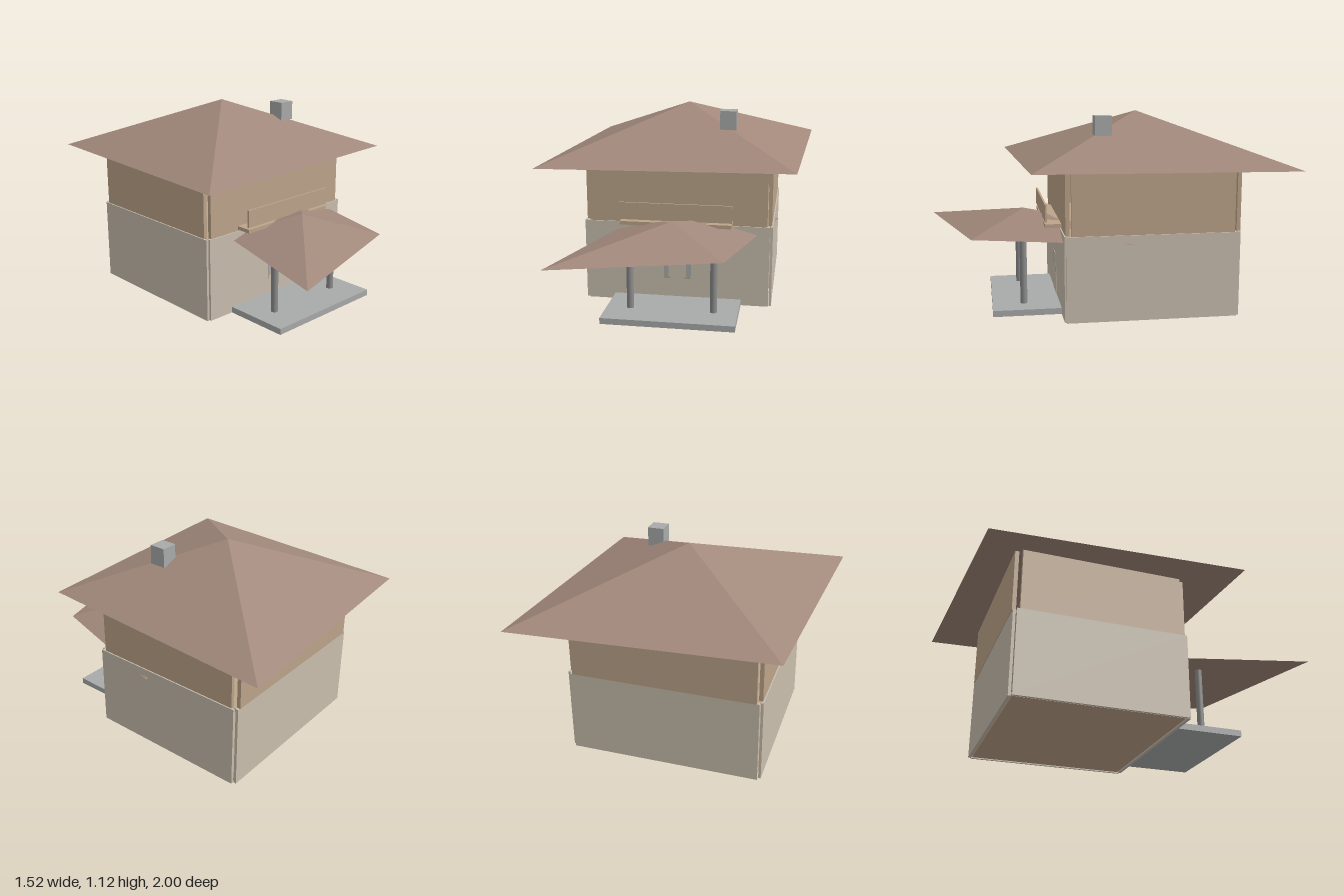
import * as THREE from 'three';

const mat = (name, color, side = THREE.FrontSide) => {
  const m = new THREE.MeshStandardMaterial({ color, side });
  m.name = name;
  return m;
};

export function createModel() {
  const house = new THREE.Group();
  house.name = 'house';
  const plaster = mat('pale plaster', 0xc9beae);
  const timber = mat('tan timber', 0xbca48a);
  const tile = mat('brown roof', 0xa1887b);
  const stone = mat('light stone', 0xa9aaaa);
  const metal = mat('grey pillar', 0x8c8c8c);

  const add = (name, geometry, material) => {
    const mesh = new THREE.Mesh(geometry, material);
    mesh.name = name;
    house.add(mesh);
    return mesh;
  };
  // Box given by its extents along each axis
  const box = (name, material, [x0, x1], [y0, y1], [z0, z1]) =>
    add(name, new THREE.BoxGeometry(x1 - x0, y1 - y0, z1 - z0), material)
      .position.set((x0 + x1) / 2, (y0 + y1) / 2, (z0 + z1) / 2);

  // Skewed four-sided roof with a closed underside; corners run front-left to front-right
  const roof = (name, apex, y, corners) => {
    const c = corners.map(([x, z]) => [x, y, z]);
    const points = [];
    c.forEach((p, i) => points.push(...p, ...c[(i + 1) % 4], ...apex));
    points.push(...c[0], ...c[2], ...c[1], ...c[0], ...c[3], ...c[2]);
    const g = new THREE.BufferGeometry();
    g.setAttribute('position', new THREE.Float32BufferAttribute(points, 3));
    g.computeVertexNormals();
    add(name, g, tile);
  };

  // Ground storey: separate wall slabs with narrow corner joints
  box('lowerFrontWall', plaster, [-0.533, 0.533], [0, 0.48], [0.232, 0.25]);
  box('lowerBackWall', plaster, [-0.533, 0.533], [0, 0.48], [-0.733, -0.717]);
  box('groundFloor', timber, [-0.525, 0.525], [0.003, 0.02], [-0.71, 0.225]);
  box('upperFloor', timber, [-0.53, 0.53], [0.46, 0.478], [-0.715, 0.23]);

  // Upper storey, slightly inset
  box('upperFrontWall', timber, [-0.518, 0.518], [0.48, 0.84], [0.22, 0.243]);
  box('upperBackWall', timber, [-0.518, 0.518], [0.48, 0.84], [-0.736, -0.714]);
  box('rearWindowPanel', timber, [-0.15, 0.15], [0.6, 0.745], [-0.714, -0.705]);
  for (const s of [-1, 1]) {
    const span = (a, b) => (s > 0 ? [a, b] : [-b, -a]);
    box('lowerSideWall', plaster, span(0.536, 0.55), [0, 0.48], [-0.715, 0.24]);
    box('upperSideWall', timber, span(0.521, 0.543), [0.48, 0.84], [-0.697, 0.213]);
    // Narrow side lights and sills beside the door
    box('doorSideLight', stone, span(0.052, 0.08), [0.155, 0.275], [0.248, 0.253]);
    box('doorSill', timber, span(0.04, 0.08), [0.146, 0.155], [0.248, 0.254]);
    // Porch pillars
    add('porchPillar', new THREE.CylinderGeometry(0.02, 0.02, 0.4, 16), metal)
      .position.set(s * 0.238, 0.234, 0.455);
  }
  box('doorLowerPanel', plaster, [-0.08, 0.08], [0.035, 0.146], [0.248, 0.252]);
  box('doorUpperPanel', plaster, [-0.052, 0.052], [0.146, 0.275], [0.248, 0.252]);

  // Main roof and chimney
  roof('mainRoof', [0, 1.123, -0.24], 0.838,
    [[-0.76, 0.515], [0.675, 0.433], [0.758, -1.0], [-0.677, -0.915]]);
  box('chimney', stone, [0.22, 0.315], [1.0, 1.11], [-0.045, 0.05]);

  // Porch roof, whose rear corners run into the house
  roof('porchRoof', [0, 0.55, 0.435], 0.432,
    [[-0.57, 0.995], [0.32, 0.747], [0.57, -0.125], [-0.32, 0.123]]);
  box('porchStep', stone, [-0.375, 0.375], [0, 0.035], [0.25, 0.635]);

  // Balcony
  box('balconyFloor', timber, [-0.32, 0.32], [0.487, 0.508], [0.215, 0.335]);
  box('balconyRail', timber, [-0.323, 0.323], [0.52, 0.62], [0.325, 0.335]);

  return house;
}
